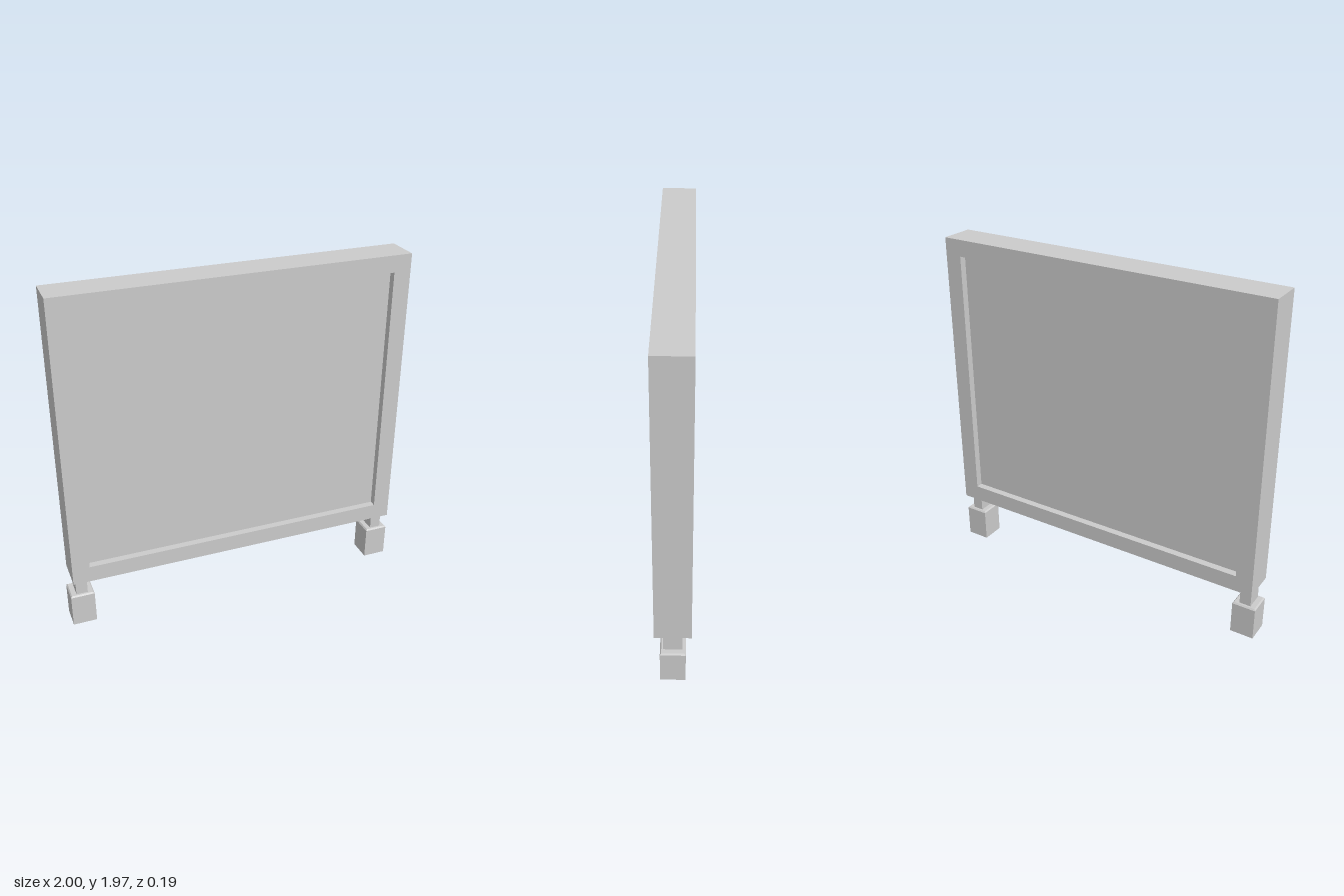
import * as THREE from 'three';

const material = new THREE.MeshStandardMaterial({ color: 0xcccccc, flatShading: true });

function addMesh(parent, name, geometry, x = 0, y = 0, z = 0) {
  const mesh = new THREE.Mesh(geometry, material);
  mesh.name = name;
  mesh.position.set(x, y, z);
  parent.add(mesh);
  return mesh;
}

// Rectangle outline between two corners
function rectangle(Type, x, y0, y1) {
  return new Type([[-x, y0], [x, y0], [x, y1], [-x, y1]].map(([a, b]) => new THREE.Vector2(a, b)));
}

export function createModel() {
  const model = new THREE.Group();
  model.name = 'standingBoard';

  // Deep rectangular frame with an opening
  const depth = 0.195;
  const outline = rectangle(THREE.Shape, 0.983, 0.3, 1.965);
  outline.holes.push(rectangle(THREE.Path, 0.885, 0.395, 1.87));
  const frame = new THREE.ExtrudeGeometry(outline, { depth, bevelEnabled: false });
  addMesh(model, 'frame', frame, 0, 0, -depth / 2);

  // Panel recessed on both sides
  addMesh(model, 'panel', new THREE.BoxGeometry(1.77, 1.475, 0.115), 0, 1.1325, 0);

  // Square foot with a chamfered top edge, as a four-sided lathe
  const half = 0.0675 * Math.SQRT2;
  const footProfile = [[0, 0], [half, 0], [half, 0.187], [half - 0.01, 0.195], [0, 0.195]]
    .map(([r, y]) => new THREE.Vector2(r, y));
  const foot = new THREE.LatheGeometry(footProfile, 4, Math.PI / 4);

  // Leg: post and foot at each end
  for (const [side, name] of [[1, 'leftLeg'], [-1, 'rightLeg']]) {
    const leg = new THREE.Group();
    leg.name = name;
    leg.position.x = side * 0.9325;
    addMesh(leg, 'post', new THREE.BoxGeometry(0.065, 0.11, 0.1), 0, 0.248, 0);
    addMesh(leg, 'foot', foot);
    model.add(leg);
  }

  return model;
}
